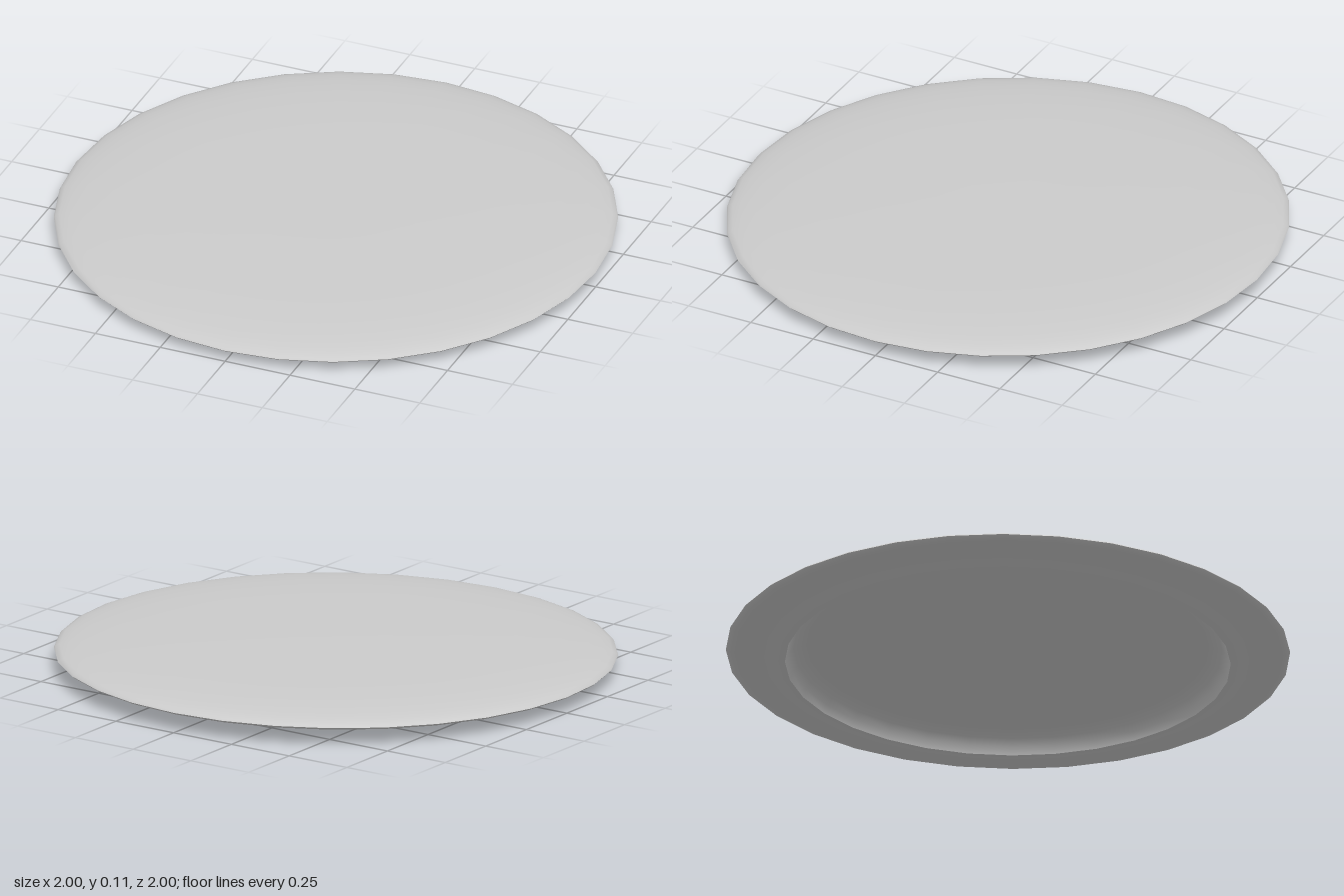
import * as THREE from 'three';
import { toCreasedNormals } from 'three/addons/utils/BufferGeometryUtils.js';

const SIDES = 32;
const TILT = 0.015; // the disc leans slightly toward the front

// Revolve a [radius, height] profile, keeping only sharp corners creased
function revolve(name, profile, material) {
  const points = profile.map(([r, y]) => new THREE.Vector2(r, y));
  const geometry = new THREE.LatheGeometry(points, SIDES);
  const mesh = new THREE.Mesh(toCreasedNormals(geometry, 0.75), material);
  mesh.name = name;
  return mesh;
}

export function createModel() {
  const model = new THREE.Group();
  model.name = 'flyingDisc';
  const material = new THREE.MeshStandardMaterial({ color: 0xcccccc, side: THREE.DoubleSide });

  // Hollow underside: ceiling running out and down to the lip
  const underside = [
    [0, 0.1], [0.4, 0.097], [0.62, 0.091], [0.71, 0.083],
    [0.76, 0.068], [0.78, 0.046], [0.79, 0.016],
  ];

  // Outer shell: lip, bevel, flared rim, then the shallow domed top
  const shell = [
    [0.79, 0.016], [0.8, 0.016], [0.825, 0.022], [0.85, 0.032], [0.89, 0.039],
    [0.95, 0.046], [0.98, 0.051], [0.995, 0.057], [1, 0.062],
    [0.995, 0.068], [0.98, 0.074], [0.95, 0.081], [0.9, 0.088],
    [0.8, 0.097], [0.65, 0.103], [0.45, 0.107], [0.2, 0.108], [0, 0.108],
  ];

  // Small raised spot in the middle of the ceiling
  const spot = [[0, 0.096], [0.07, 0.096], [0.085, 0.1]];

  model.add(
    revolve('underside', underside, material),
    revolve('shell', shell, material),
    revolve('centreSpot', spot, material),
  );
  model.children.forEach((part) => { part.rotation.x = TILT; });
  return model;
}
